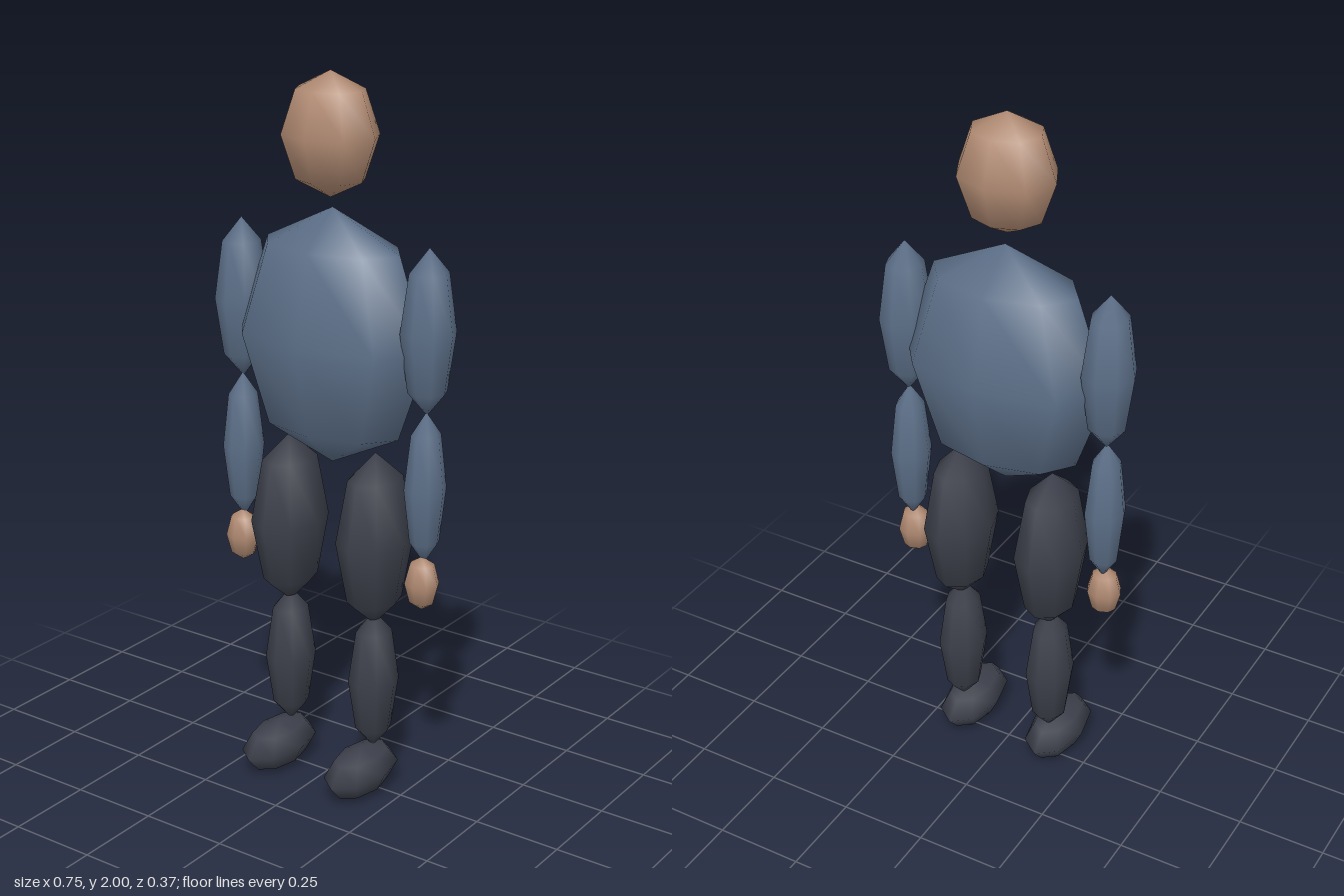
import * as THREE from 'three';

const skin = new THREE.MeshStandardMaterial({ color: 0xb08a72 });
skin.name = 'skin';
const shirt = new THREE.MeshStandardMaterial({ color: 0x5c6f88 });
shirt.name = 'blueShirt';
const trousers = new THREE.MeshStandardMaterial({ color: 0x3d404b });
trousers.name = 'darkTrousers';

// Low-poly ellipsoid: eight sides, four bands, smooth normals
function ellipsoid(name, material, [x, y, z], [rx, ry, rz]) {
  const geometry = new THREE.SphereGeometry(1, 8, 4);
  geometry.scale(rx, ry, rz);
  const mesh = new THREE.Mesh(geometry, material);
  mesh.name = name;
  mesh.position.set(x, y, z);
  return mesh;
}

export function createModel() {
  const figure = new THREE.Group();
  figure.name = 'figure';

  // Head and body
  figure.add(
    ellipsoid('head', skin, [0, 1.835, -0.01], [0.14, 0.165, 0.117]),
    ellipsoid('torso', shirt, [0, 1.29, -0.02], [0.303, 0.353, 0.167])
  );

  // Limbs, mirrored left (+x) and right (-x)
  for (const [side, s] of [['left', 1], ['right', -1]]) {
    const arm = new THREE.Group();
    arm.name = side + 'Arm';
    arm.add(
      ellipsoid(side + 'UpperArm', shirt, [s * 0.303, 1.352, -0.02], [0.074, 0.225, 0.078]),
      ellipsoid(side + 'Forearm', shirt, [s * 0.303, 0.925, -0.017], [0.056, 0.213, 0.061]),
      ellipsoid(side + 'Hand', skin, [s * 0.303, 0.657, -0.008], [0.05, 0.077, 0.045])
    );

    const leg = new THREE.Group();
    leg.name = side + 'Leg';
    leg.add(
      ellipsoid(side + 'Thigh', trousers, [s * 0.143, 0.743, -0.018], [0.096, 0.25, 0.127]),
      ellipsoid(side + 'Shin', trousers, [s * 0.143, 0.324, -0.017], [0.068, 0.207, 0.077]),
      ellipsoid(side + 'Shoe', trousers, [s * 0.143, 0.068, 0.041], [0.078, 0.068, 0.146])
    );
    figure.add(arm, leg);
  }
  return figure;
}
